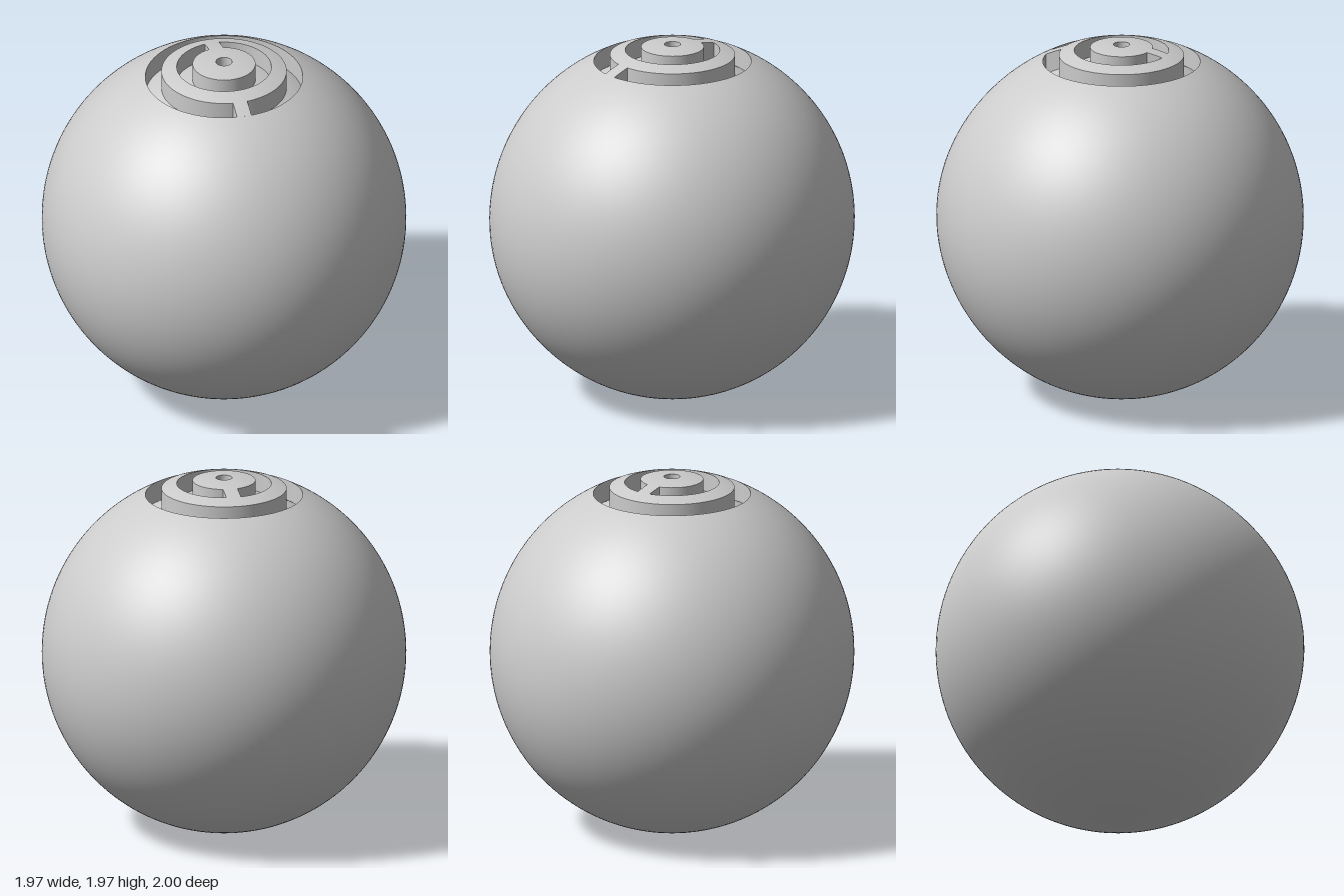
import * as THREE from 'three';

const R = 0.987;            // ball radius
const DEPTH = 0.1;          // depth of the engraved grooves
const SEGMENTS = 128;
const HOLE = 0.044, BUTTON = 0.17, RING_IN = 0.256, RING_OUT = 0.339, RIM = 0.426;

const material = new THREE.MeshStandardMaterial({ color: 0xcccccc });
const height = (r, radius = R) => Math.sqrt(Math.max(0, radius * radius - r * r));

function addMesh(parent, name, geometry) {
  const mesh = new THREE.Mesh(geometry, material);
  mesh.name = name;
  parent.add(mesh);
  return mesh;
}

// Spherical band on the upper side, running inward from radius r0 to r1
function cap(r0, r1, radius = R, steps = 8) {
  const a0 = Math.asin(r0 / radius), a1 = Math.asin(r1 / radius);
  const points = [];
  for (let i = 0; i <= steps; i++) {
    const a = a0 + (a1 - a0) * i / steps;
    points.push(new THREE.Vector2(Math.max(0, Math.sin(a) * radius), Math.cos(a) * radius));
  }
  return new THREE.LatheGeometry(points, SEGMENTS);
}

// Upright groove wall, facing outward or toward the axis
function wall(r, outward) {
  const points = [new THREE.Vector2(r, height(r, R - DEPTH)), new THREE.Vector2(r, height(r))];
  return new THREE.LatheGeometry(outward ? points : points.reverse(), SEGMENTS);
}

// Straight-sided bridge across a groove, its top following the ball
function bridge(r0, r1, halfWidth, direction) {
  const geometry = new THREE.BoxGeometry(2, 1, 1, 8, 1, 8);
  const p = geometry.attributes.position;
  for (let i = 0; i < p.count; i++) {
    const x = p.getX(i) * halfWidth;
    const t = p.getZ(i) + 0.5;
    const z = height(x, r0) * (1 - t) + height(x, r1) * t;
    const r = Math.hypot(x, z);
    p.setXYZ(i, x, p.getY(i) > 0 ? height(r) : height(r, R - DEPTH) - 0.01, z);
  }
  geometry.computeVertexNormals();
  if (direction < 0) geometry.rotateY(Math.PI);
  return geometry;
}

export function createModel() {
  const model = new THREE.Group();
  model.name = 'engravedBall';
  const ball = new THREE.Group();
  ball.name = 'ball';
  ball.position.set(0, R, -0.013);
  model.add(ball);

  // Main shell from the bottom pole up to the groove rim
  const profile = [];
  const top = Math.PI - Math.asin(RIM / R);
  for (let i = 0; i <= 72; i++) {
    const a = top * i / 72;
    profile.push(new THREE.Vector2(Math.sin(a) * R, -Math.cos(a) * R));
  }
  const shell = new THREE.LatheGeometry(profile, SEGMENTS);
  // Very slight swelling toward the front
  const p = shell.attributes.position;
  for (let i = 0; i < p.count; i++) {
    const front = Math.max(0, p.getZ(i) / R);
    p.setZ(i, p.getZ(i) + 0.026 * front ** 6);
  }
  addMesh(ball, 'shell', shell);

  // Raised surfaces between the grooves
  addMesh(ball, 'raisedRing', cap(RING_OUT, RING_IN));
  addMesh(ball, 'centreButton', cap(BUTTON, HOLE));

  // Two grooves and the centre hole: outer wall, floor, inner wall
  const grooves = [['outerGroove', RIM, RING_OUT], ['innerGroove', RING_IN, BUTTON], ['centreHole', HOLE, 0]];
  for (const [name, outer, inner] of grooves) {
    const groove = new THREE.Group();
    groove.name = name;
    ball.add(groove);
    addMesh(groove, name + 'OuterWall', wall(outer, false));
    addMesh(groove, name + 'Floor', cap(outer, inner, R - DEPTH));
    if (inner > 0) addMesh(groove, name + 'InnerWall', wall(inner, true));
  }

  // Bridges that interrupt the grooves: front of the outer, back of the inner
  addMesh(ball, 'frontBridge', bridge(RING_OUT, RIM, 0.04, 1));
  addMesh(ball, 'backBridge', bridge(BUTTON, RING_IN, 0.04, -1));

  return model;
}
